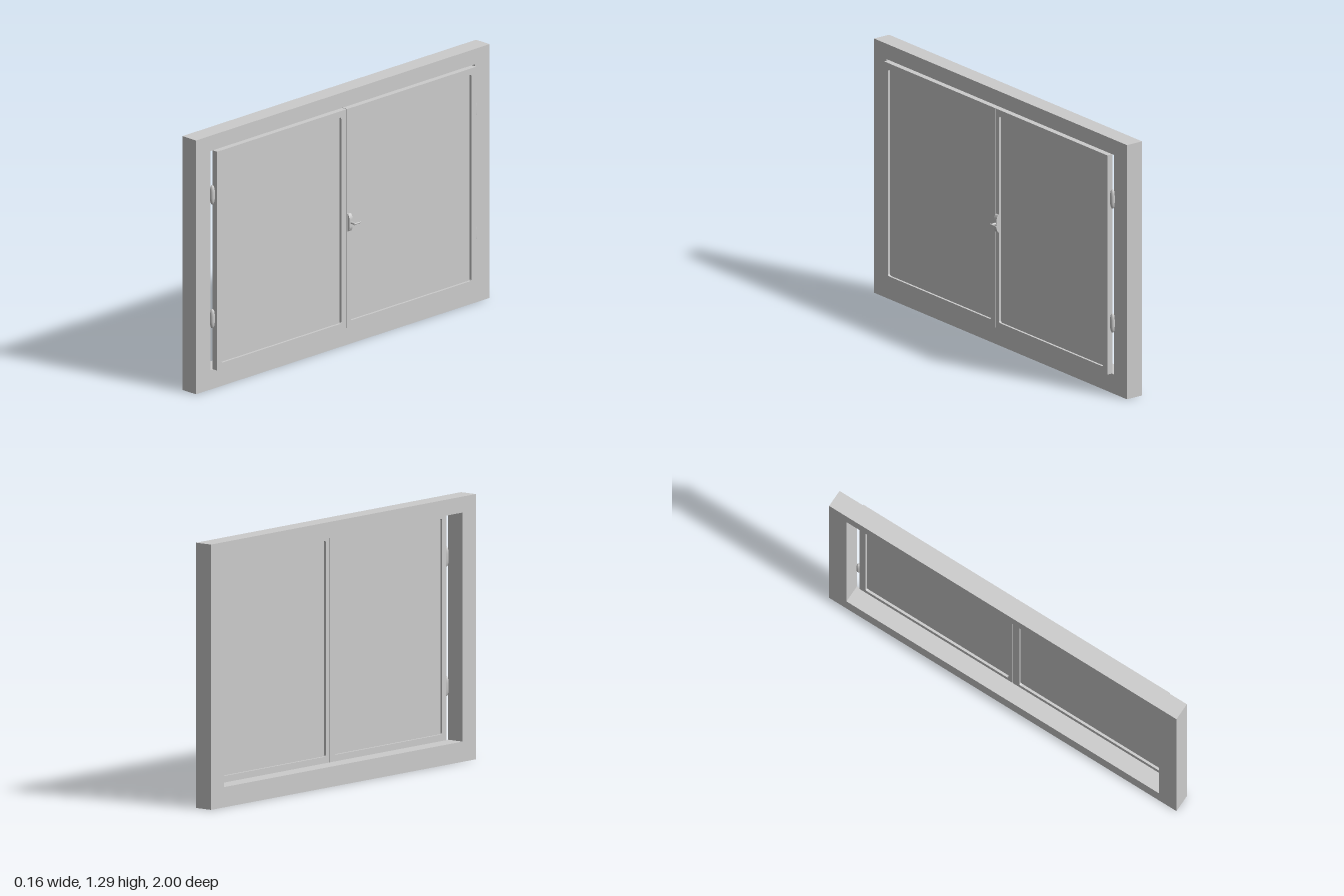
import * as THREE from 'three';

const material = new THREE.MeshStandardMaterial({ color: 0xcccccc });

function add(parent, name, geometry, x = 0, y = 0, z = 0) {
  const mesh = new THREE.Mesh(geometry, material);
  mesh.name = name;
  mesh.position.set(x, y, z);
  parent.add(mesh);
  return mesh;
}

// Rectangle outline with optional rounded corners; u runs along -z
function rect(target, u0, u1, y0, y1, r = 0) {
  if (r === 0) {
    target.moveTo(u0, y0).lineTo(u1, y0).lineTo(u1, y1).lineTo(u0, y1).closePath();
    return target;
  }
  target.moveTo(u0 + r, y0).lineTo(u1 - r, y0).quadraticCurveTo(u1, y0, u1, y0 + r);
  target.lineTo(u1, y1 - r).quadraticCurveTo(u1, y1, u1 - r, y1);
  target.lineTo(u0 + r, y1).quadraticCurveTo(u0, y1, u0, y1 - r);
  target.lineTo(u0, y0 + r).quadraticCurveTo(u0, y0, u0 + r, y0);
  return target;
}

// Extrude a u/y outline through the wall thickness, from x0 to x1
function slab(shape, x0, x1) {
  return new THREE.ExtrudeGeometry(shape, { depth: x1 - x0, bevelEnabled: false, curveSegments: 4 })
    .translate(0, 0, x0).rotateY(Math.PI / 2);
}

// Vertical barrel with tapered, rounded ends
function barrel(radius, height) {
  const h = height / 2;
  const profile = [[0, -h], [0.35, -h], [0.7, -h * 0.86], [0.92, -h * 0.6], [1, -h * 0.3],
    [1, h * 0.3], [0.92, h * 0.6], [0.7, h * 0.86], [0.35, h], [0, h]]
    .map(([r, y]) => new THREE.Vector2(r * radius, y));
  return new THREE.LatheGeometry(profile, 16);
}

export function createModel() {
  const model = new THREE.Group();
  model.name = 'casementWindow';

  // Fixed outer frame
  const outer = rect(new THREE.Shape(), -1, 1, 0, 1.295);
  outer.holes.push(rect(new THREE.Path(), -0.9, 0.9, 0.099, 1.217));
  add(model, 'outerFrame', slab(outer, -0.082, 0.01));

  // Two sashes with recessed panes, hinged at the outer edges
  const sashes = [
    { name: 'rightSash', side: 1, u: [0.001, 0.882], pane: [0.026, 0.848] },
    { name: 'leftSash', side: -1, u: [-0.884, -0.001], pane: [-0.853, -0.038] },
  ];
  for (const { name, side, u, pane } of sashes) {
    const sash = new THREE.Group();
    sash.name = name;
    const rails = rect(new THREE.Shape(), u[0], u[1], 0.099, 1.216);
    rails.holes.push(rect(new THREE.Path(), pane[0], pane[1], 0.131, 1.184, 0.01));
    add(sash, 'sashFrame', slab(rails, 0.006, 0.038));
    const glass = rect(new THREE.Shape(), pane[0] - 0.005, pane[1] + 0.005, 0.126, 1.189);
    add(sash, 'pane', slab(glass, 0.018, 0.026));
    for (const y of [0.361, 0.993]) add(sash, 'hinge', barrel(0.0125, 0.095), 0.0145, y, -side * 0.893);
    model.add(sash);
  }

  // Handle: domed back plate, spindle and sideways lever
  const handle = new THREE.Group();
  handle.name = 'handle';
  handle.position.set(0.038, 0.636, -0.014);
  const plate = new THREE.Shape();
  plate.moveTo(0, -0.045).lineTo(0.006, -0.043).quadraticCurveTo(0.015, -0.03, 0.015, -0.018);
  plate.lineTo(0.015, 0.018).quadraticCurveTo(0.015, 0.03, 0.006, 0.043).lineTo(0, 0.045).closePath();
  const plateGeometry = new THREE.ExtrudeGeometry(plate, { depth: 0.022, bevelEnabled: false, curveSegments: 6 });
  add(handle, 'handlePlate', plateGeometry.translate(0, 0, -0.011));
  const spindle = new THREE.CylinderGeometry(0.0045, 0.0065, 0.03, 12).rotateZ(-Math.PI / 2);
  add(handle, 'spindle', spindle, 0.027, 0, -0.003);
  const lever = new THREE.CylinderGeometry(0.0035, 0.005, 0.046, 12).rotateX(-Math.PI / 2);
  add(handle, 'lever', lever.scale(0.7, 1, 1), 0.0405, 0, -0.018);
  model.add(handle);

  return model;
}
